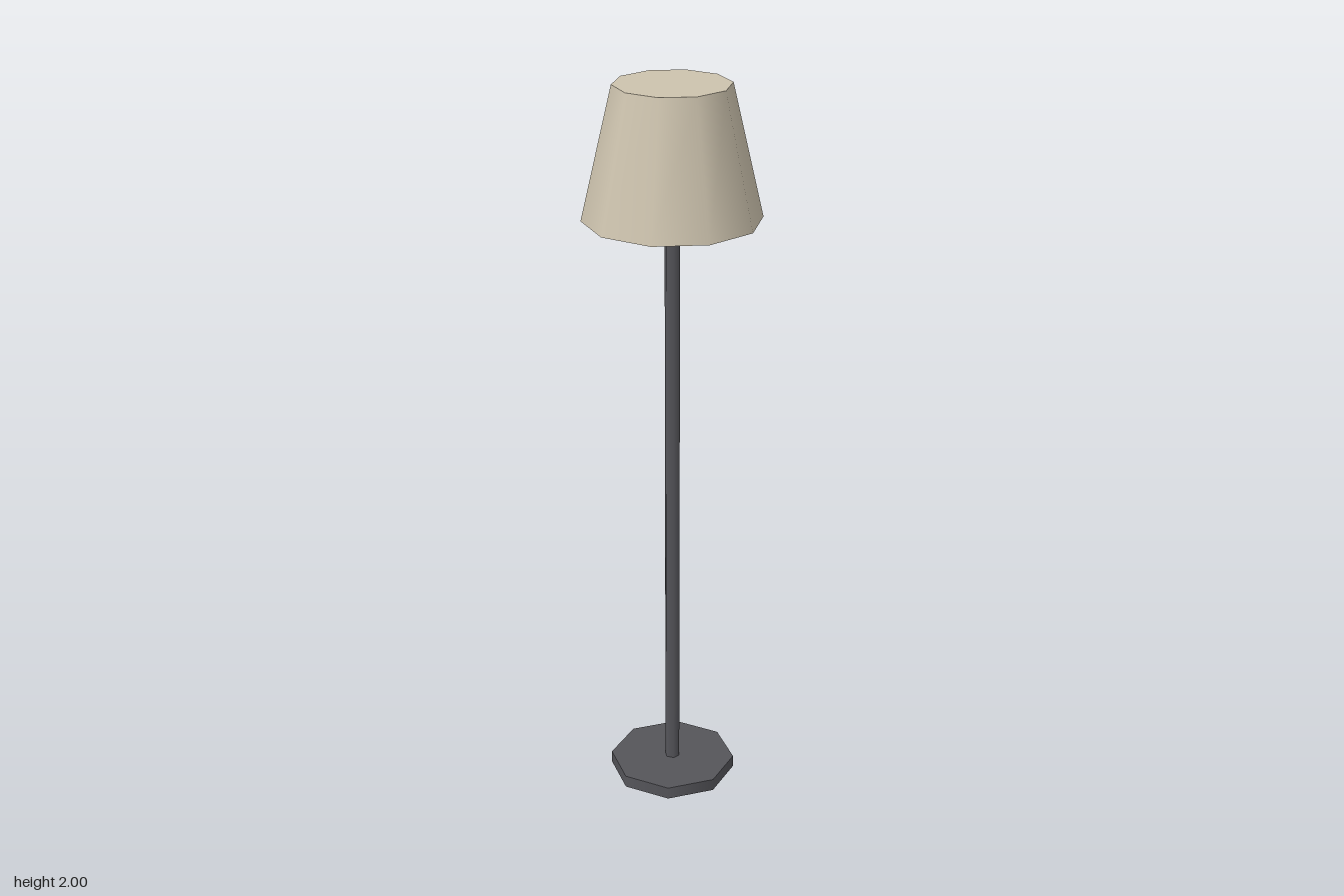
import * as THREE from 'three';

// Upright prism or frustum with a corner on the +x axis
function prism(name, rTop, rBottom, y0, y1, sides, material) {
  const geometry = new THREE.CylinderGeometry(rTop, rBottom, y1 - y0, sides, 1, false, Math.PI / 2);
  const mesh = new THREE.Mesh(geometry, material);
  mesh.name = name;
  mesh.position.y = (y0 + y1) / 2;
  return mesh;
}

export function createModel() {
  const metal = new THREE.MeshStandardMaterial({ color: 0x55555a });
  const fabric = new THREE.MeshStandardMaterial({ color: 0xcdc3ae });

  const lamp = new THREE.Group();
  lamp.name = 'floorLamp';
  lamp.add(
    prism('base', 0.176, 0.176, 0, 0.035, 8, metal),
    prism('pole', 0.021, 0.021, 0.035, 1.66, 6, metal),
    prism('shade', 0.153, 0.235, 1.65, 2, 10, fabric),
  );
  return lamp;
}
